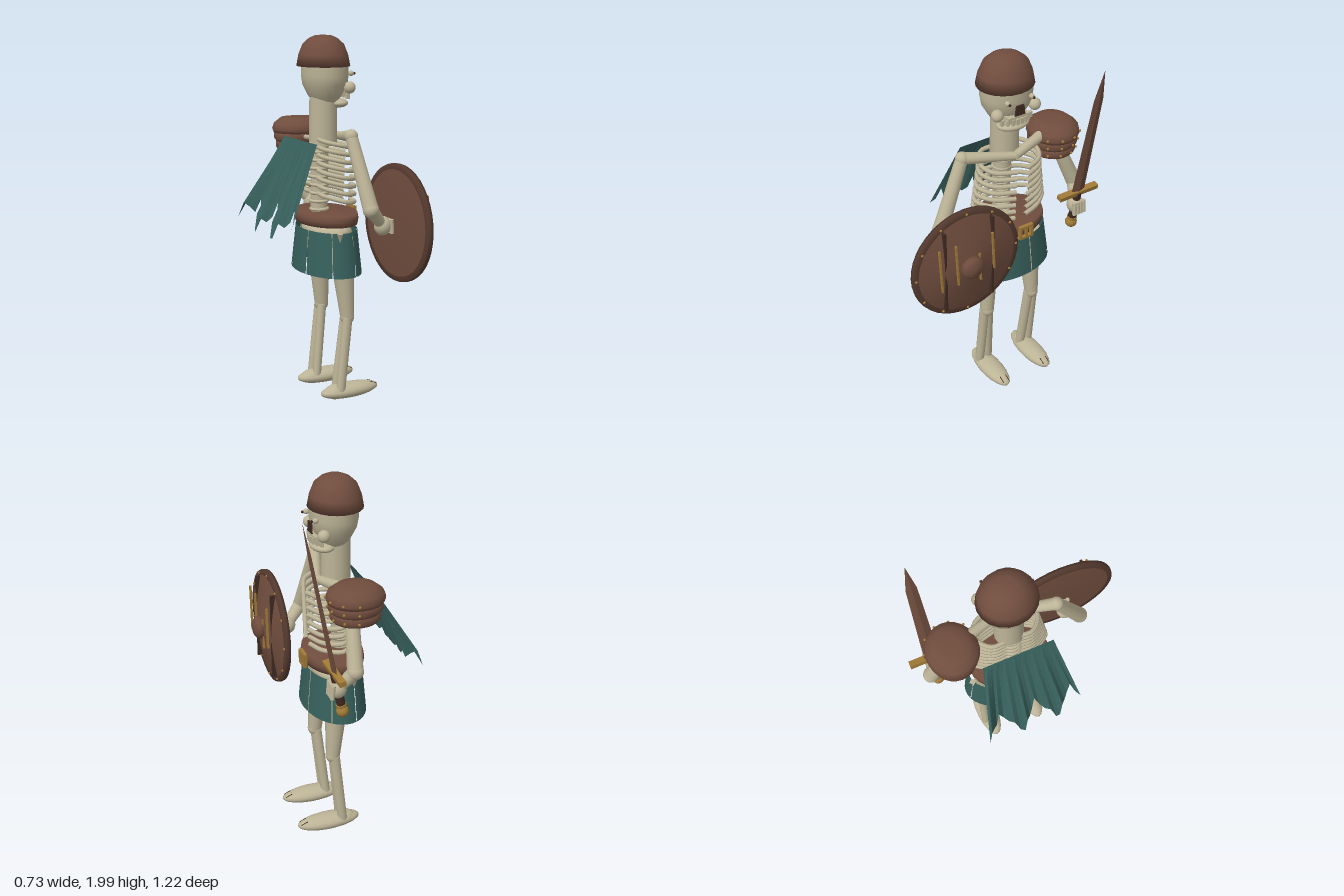
import * as THREE from 'three';

const mat = (name, color, side = THREE.FrontSide) => {
  const m = new THREE.MeshStandardMaterial({ color, side });
  m.name = name;
  return m;
};

export function createModel() {
  const bone = mat('bone', 0xbdb497);
  const leather = mat('leather brown', 0x704d3e);
  const rimBrown = mat('rim brown', 0x553a2f);
  const dark = mat('dark brown', 0x3f2a22);
  const cloth = mat('teal cloth', 0x37605c, THREE.DoubleSide);
  const bronze = mat('bronze', 0xa07a38);
  const model = new THREE.Group();
  model.name = 'skeletonWarrior';

  const C = -0.095; // body mid-plane in z; the figure looks toward +x
  const V = (x, y, z) => new THREE.Vector3(x, y, z);
  const add = (name, geo, m, x = 0, y = 0, z = 0, parent = model) => {
    const mesh = new THREE.Mesh(geo, m);
    mesh.name = name;
    mesh.position.set(x, y, z);
    parent.add(mesh);
    return mesh;
  };
  const ball = (name, m, x, y, z, rx, ry = rx, rz = rx, parent = model) => {
    const b = add(name, new THREE.SphereGeometry(1, 18, 12), m, x, y, z, parent);
    b.scale.set(rx, ry, rz);
    return b;
  };
  // tapered rod from a (radius ra) to b (radius rb)
  const rod = (name, m, a, b, ra, rb = ra, parent = model) => {
    const d = b.clone().sub(a);
    const mid = a.clone().add(b).multiplyScalar(0.5);
    const r = add(name, new THREE.CylinderGeometry(rb, ra, d.length(), 14), m, mid.x, mid.y, mid.z, parent);
    r.quaternion.setFromUnitVectors(V(0, 1, 0), d.normalize());
    return r;
  };
  const lathe = (name, m, pts, x, y, z, sx = 1, sz = 1, seg = 24, parent = model) => {
    const l = add(name, new THREE.LatheGeometry(pts.map(p => new THREE.Vector2(...p)), seg), m, x, y, z, parent);
    l.scale.set(sx, 1, sz);
    return l;
  };
  const box = (name, m, x, y, z, w, h, d, parent = model) =>
    add(name, new THREE.BoxGeometry(w, h, d), m, x, y, z, parent);

  // ---- head ----
  lathe('helmet', leather, [[0, 1.845], [0.15, 1.84], [0.138, 1.9], [0.115, 1.955], [0.08, 1.985], [0.045, 2], [0, 2]],
    0.021, 0, C, 0.94, 1.03, 20);
  lathe('skull', bone, [[0.07, 1.65], [0.095, 1.68], [0.128, 1.74], [0.137, 1.79], [0.137, 1.86]], 0.03, 0, C, 0.9, 1.03);
  rod('neck', bone, V(0.02, 1.42, C), V(0.02, 1.69, C), 0.077, 0.075);
  ball('jaw', bone, 0.092, 1.642, C, 0.064, 0.028, 0.093);
  const nose = new THREE.Shape([[-0.03, -0.027], [0.03, -0.027], [0.022, 0.027], [-0.022, 0.027]].map(p => new THREE.Vector2(...p)));
  add('noseHole', new THREE.ExtrudeGeometry(nose, { depth: 0.009, bevelEnabled: false }), dark, 0.15, 1.745, C).rotation.y = Math.PI / 2;
  box('upperGum', bone, 0.115, 1.695, C, 0.07, 0.03, 0.13);
  for (let i = 0; i < 8; i++) {
    const t = (i - 3.5) / 3.5;
    box('tooth', bone, 0.152 - 0.03 * t * t, 1.682, C + t * 0.085, 0.018, 0.032, 0.017);
  }
  for (const s of [1, -1]) {
    ball('cheekbone', bone, 0.12, 1.73, C + s * 0.112, 0.032);
    ball('eye', bone, 0.15, 1.8, C + s * 0.072, 0.016, 0.014, 0.014);
    ball('pupil', dark, 0.17, 1.8, C + s * 0.072, 0.007);
  }

  // ---- spine, ribs and hips ----
  rod('spine', bone, V(-0.01, 0.92, C), V(0, 1.46, C), 0.045, 0.05);
  for (let i = 0; i < 9; i++) ball('vertebra', bone, -0.005, 1.07 + i * 0.045, C, 0.055, 0.017, 0.055);
  for (let i = 0; i < 8; i++) for (const s of [1, -1]) {
    const y = 1.455 - i * 0.042, w = 0.17 + i * 0.007;
    const path = new THREE.CatmullRomCurve3([
      V(-0.03, y, C + s * 0.03), V(-0.03, y - 0.005, C + s * 0.11), V(0.05, y - 0.025, C + s * w),
      V(0.135, y - 0.042, C + s * 0.14), V(0.185 - i * 0.002, y - 0.05, C + s * 0.03)]);
    add('rib', new THREE.TubeGeometry(path, 18, 0.0125, 7), bone);
  }
  ball('pelvis', bone, 0.04, 0.95, C, 0.12, 0.07, 0.19);

  // ---- arms, mirrored about the body ----
  const hands = [];
  for (const s of [1, -1]) {
    const arm = new THREE.Group();
    arm.name = s > 0 ? 'leftArm' : 'rightArm';
    model.add(arm);
    const sh = V(0.04, 1.495, C + s * 0.27), el = V(0.07, 1.13, C + s * 0.425);
    const ha = V(s > 0 ? 0.165 : 0.147, 1.03, C + s * 0.385);
    hands.push(ha);
    rod('collarbone', bone, V(0.12, 1.46, C), sh, 0.022, 0.033, arm);
    ball('shoulder', bone, sh.x, sh.y, sh.z, 0.036, 0.036, 0.036, arm);
    rod('upperArm', bone, sh, el, 0.033, 0.042, arm);
    ball('elbow', bone, el.x, el.y, el.z, 0.043, 0.043, 0.043, arm);
    rod('forearm', bone, el, ha, 0.038, 0.028, arm);
    ball('hand', bone, ha.x, ha.y, ha.z, 0.046, 0.052, 0.046, arm);
    for (let f = 0; f < 4; f++) {
      const z = ha.z + (f - 1.5) * 0.021;
      rod('finger', bone, V(ha.x + 0.034, ha.y + 0.035, z), V(ha.x + 0.04, ha.y - 0.04, z), 0.012, 0.011, arm);
    }
  }

  // ---- legs, mirrored ----
  for (const s of [1, -1]) {
    const leg = new THREE.Group();
    leg.name = s > 0 ? 'leftLeg' : 'rightLeg';
    model.add(leg);
    const knee = V(0.088, 0.48, C + s * 0.15);
    rod('thigh', bone, V(0.055, 0.92, C + s * 0.13), knee, 0.072, 0.038, leg);
    ball('knee', bone, knee.x, knee.y, knee.z, 0.04, 0.042, 0.038, leg);
    for (const o of [1, -1]) {
      rod('shin', bone, V(0.083, 0.48, knee.z + o * 0.014), V(0.038, 0.06, C + s * 0.142 + o * 0.028),
        0.026, 0.024, leg).scale.x = 1.1;
    }
    ball('heel', bone, 0.03, 0.052, C + s * 0.14, 0.075, 0.042, 0.052, leg);
    ball('foot', bone, 0.11, 0.05, C + s * 0.14, 0.18, 0.042, 0.064, leg);
    for (const o of [-1, 0, 1]) box('toeGap', dark, 0.255, 0.069, C + s * 0.14 + o * 0.018, 0.04, 0.006, 0.004, leg).rotation.z = -0.4;
  }

  // ---- belt and skirt ----
  lathe('belt', leather, [[0, 0.997], [1, 0.997], [1.03, 1.027], [1, 1.057], [0, 1.062]], 0.038, 0, C, 0.155, 0.216, 32);
  for (const o of [1, -1]) {
    box('buckleSide', bronze, 0.206, 1.027, C - 0.018 + o * 0.035, 0.02, 0.075, 0.015);
    box('buckleBar', bronze, 0.206, 1.027 + o * 0.032, C - 0.018, 0.02, 0.014, 0.08);
  }
  box('bucklePin', bronze, 0.21, 1.027, C - 0.018, 0.014, 0.06, 0.012);
  const panels = 8;
  for (let i = 0; i < panels; i++) {
    const step = Math.PI * 2 / panels;
    const g = new THREE.CylinderGeometry(0.87, 1, 0.24, 5, 1, true, i * step + 0.28, step - 0.025);
    const p = add('skirtPanel', g, cloth, 0.038, 0.85, C);
    p.scale.set(0.168, 1, 0.265);
  }
  for (const s of [1, -1]) {
    const tip = add('hipTip', new THREE.ConeGeometry(0.02, 0.05, 4), bone, 0.0, 0.945, C + s * 0.228);
    tip.rotation.x = Math.PI;
  }

  // ---- cape: folds that deepen toward a ragged hem ----
  const nu = 24, nv = 5;
  const cape = new THREE.PlaneGeometry(1, 1, nu, nv);
  const cp = cape.attributes.position;
  for (let k = 0; k < cp.count; k++) {
    const u = cp.getX(k) + 0.5, v = 0.5 - cp.getY(k);
    const ph = (u * 2.75) % 1, fold = Math.abs(ph * 2 - 1); // 1 = outward crest
    const i = Math.round(u * nu);
    const hem = 0.95 + 0.13 * (1 - fold) + (i % 3 === 1 ? 0.05 : 0) + (i < 3 ? 0.06 : 0);
    cp.setXYZ(k, -0.115 - v * (0.145 + 0.105 * fold), 1.45 + (hem - 1.45) * v,
      -0.1 + (u - 0.5) * (0.38 + 0.16 * v));
  }
  const flatCape = cape.toNonIndexed();
  flatCape.computeVertexNormals();
  add('cape', flatCape, cloth);

  // ---- layered shoulder guard ----
  const guard = new THREE.Group();
  guard.name = 'shoulderGuard';
  guard.position.set(0.025, 0, -0.397);
  model.add(guard);
  [[1.355, 0.125], [1.405, 0.135]].forEach(([y, r]) =>
    lathe('guardPlate', leather, [[0, y], [r - 0.012, y], [r, y + 0.015], [r, y + 0.045], [r - 0.02, y + 0.06], [0, y + 0.06]], 0, 0, 0, 1.03, 0.97, 24, guard));
  lathe('guardCap', leather, [[0, 1.455], [0.14, 1.455], [0.148, 1.475], [0.138, 1.505], [0.1, 1.535], [0.05, 1.54], [0, 1.54]],
    0, 0, 0, 1.02, 0.93, 24, guard);
  for (let l = 0; l < 3; l++) for (let i = 0; i < 6; i++) {
    const a = (i - 2.5) * 0.55, r = 0.128 + l * 0.009;
    ball('guardRivet', bronze, r * 1.03 * Math.cos(a), 1.38 + l * 0.05, r * 0.96 * Math.sin(a), 0.007, 0.007, 0.007, guard);
  }

  // ---- shield, facing +x ----
  const shield = new THREE.Group();
  shield.name = 'shield';
  shield.position.set(0, 1.037, 0.295);
  model.add(shield);
  const disc = (name, m, pts, seg) => { lathe(name, m, pts, 0, 0, 0, 1, 1, seg, shield).rotation.z = -Math.PI / 2; };
  disc('shieldFace', leather, [[0, 0.244], [0.3, 0.244], [0.3, 0.268], [0, 0.328]], 40);
  disc('shieldRim', rimBrown, [[0.285, 0.24], [0.312, 0.24], [0.316, 0.256], [0.312, 0.272], [0.285, 0.272]], 40);
  disc('shieldBoss', leather, [[0.05, 0.305], [0.065, 0.318], [0.06, 0.34], [0.04, 0.356], [0, 0.362]], 20);
  for (const z of [0.14, -0.14]) box('plankSeam', dark, 0.284, 0, z, 0.03, 0.49, 0.012, shield);
  for (let i = 0; i < 12; i++) {
    const a = i * Math.PI / 6;
    ball('rimRivet', bronze, 0.273, 0.298 * Math.sin(a), 0.298 * Math.cos(a), 0.007, 0.007, 0.007, shield);
  }
  [[0.18, 0.04, 0.26], [0.085, 0.04, 0.25], [-0.05, -0.02, 0.17], [-0.13, 0.05, 0.23]].forEach(([z, y, h]) => {
    box('faceStrip', bronze, 0.316, y, z, 0.012, h, 0.009, shield).rotation.x = 0.05;
  });

  // ---- sword, leaning toward +x ----
  const sword = new THREE.Group();
  sword.name = 'sword';
  sword.position.set(0.165, 1.12, -0.48);
  sword.rotation.z = -Math.atan(0.194);
  model.add(sword);
  const outline = [[0, 0.042], [0.64, 0.029], [0.817, 0.001]]; // height, half width
  const edge = [];
  outline.forEach(([y, w]) => { const t = w * 0.3; edge.push([V(t, y, 0), V(0, y, -w), V(-t, y, 0), V(0, y, w)]); });
  const tri = [];
  for (let j = 0; j < 2; j++) for (let i = 0; i < 4; i++) {
    const a = edge[j][i], b = edge[j][(i + 1) % 4], c = edge[j + 1][(i + 1) % 4], d = edge[j + 1][i];
    tri.push(a, b, c, a, c, d);
  }
  const blade = new THREE.BufferGeometry().setFromPoints(tri);
  blade.computeVertexNormals();
  add('blade', blade, leather, 0, 0, 0, sword);
  box('crossGuard', bronze, 0, 0, 0, 0.036, 0.026, 0.25, sword);
  rod('grip', dark, V(0, -0.21, 0), V(0, 0, 0), 0.023, 0.023, sword);
  rod('gripCollar', bronze, V(0, -0.2, 0), V(0, -0.185, 0), 0.028, 0.028, sword);
  ball('pommel', bronze, 0, -0.228, 0, 0.033, 0.033, 0.033, sword);

  return model;
}
